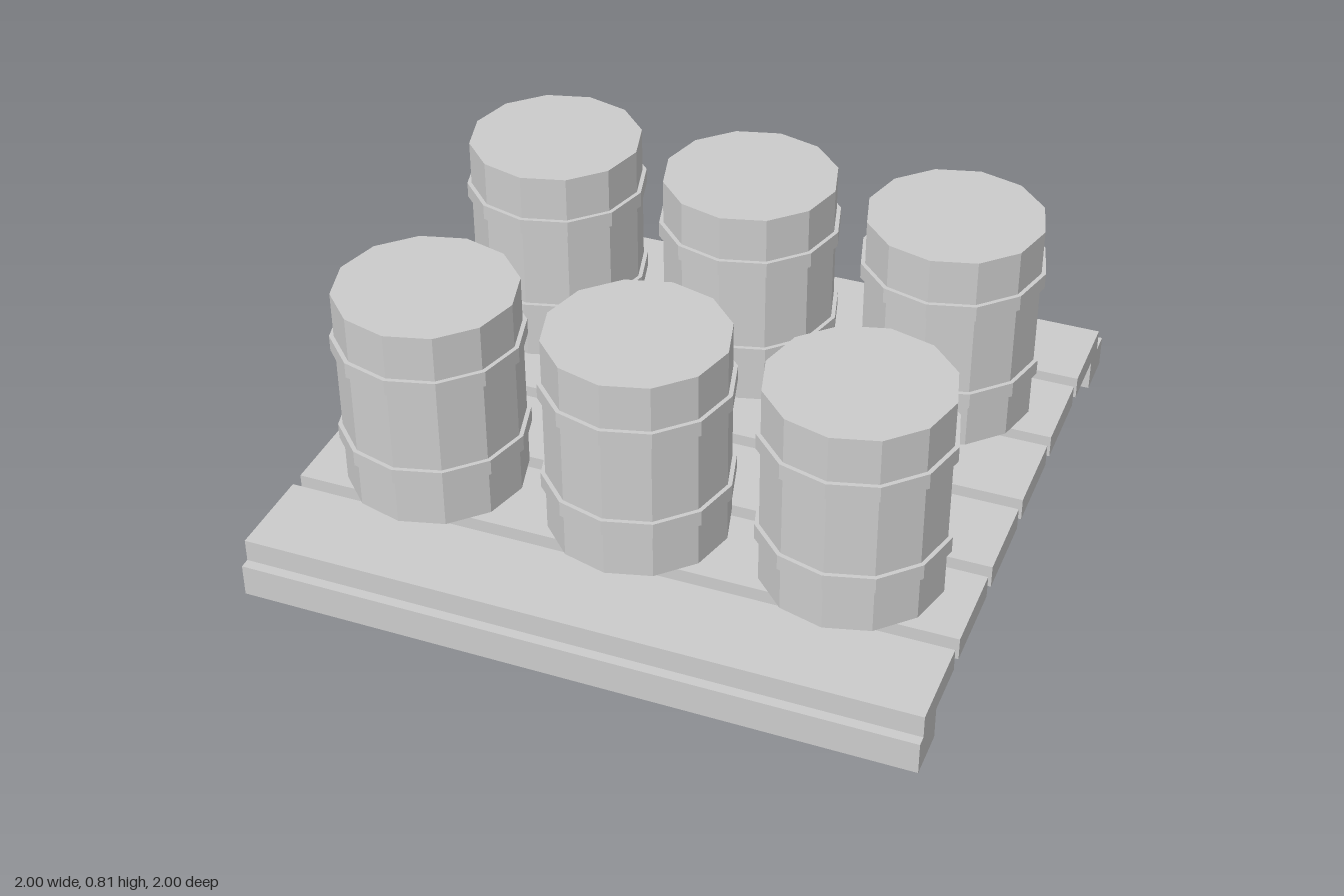
import * as THREE from 'three';

const material = new THREE.MeshStandardMaterial({ color: 0xcccccc, flatShading: true });

function addMesh(parent, name, geometry, x, y, z) {
  const mesh = new THREE.Mesh(geometry, material);
  mesh.name = name;
  mesh.position.set(x, y, z);
  parent.add(mesh);
  return mesh;
}

// Twelve-sided drum standing on its own origin, with two raised hoops
function createBarrel() {
  const barrel = new THREE.Group();
  barrel.name = 'barrel';
  const height = 0.638;
  addMesh(barrel, 'barrelBody', new THREE.CylinderGeometry(0.266, 0.266, height, 12), 0, height / 2, 0);
  for (const y of [0.168, 0.474]) {
    addMesh(barrel, 'barrelHoop', new THREE.CylinderGeometry(0.279, 0.279, 0.048, 12), 0, y, 0);
  }
  return barrel;
}

export function createModel() {
  const model = new THREE.Group();
  model.name = 'palletWithBarrels';
  const deckTop = 0.17, deckBottom = 0.1;

  // Pallet: six deck planks over two runners
  const pallet = new THREE.Group();
  pallet.name = 'pallet';
  model.add(pallet);
  const plank = new THREE.BoxGeometry(2, deckTop - deckBottom, 0.279);
  for (let i = 0; i < 6; i++) {
    addMesh(pallet, 'deckPlank', plank, 0, (deckTop + deckBottom) / 2, -0.79 + i * 0.324);
  }
  const runner = new THREE.BoxGeometry(2, deckBottom, 0.146);
  for (const side of [-1, 1]) {
    addMesh(pallet, 'runner', runner, 0, deckBottom / 2, side * 0.927);
  }

  // Two rows of three barrels
  for (const z of [-0.43, 0.467]) {
    for (const x of [-0.637, 0, 0.637]) {
      const barrel = createBarrel();
      barrel.position.set(x, deckTop, z);
      model.add(barrel);
    }
  }
  return model;
}
